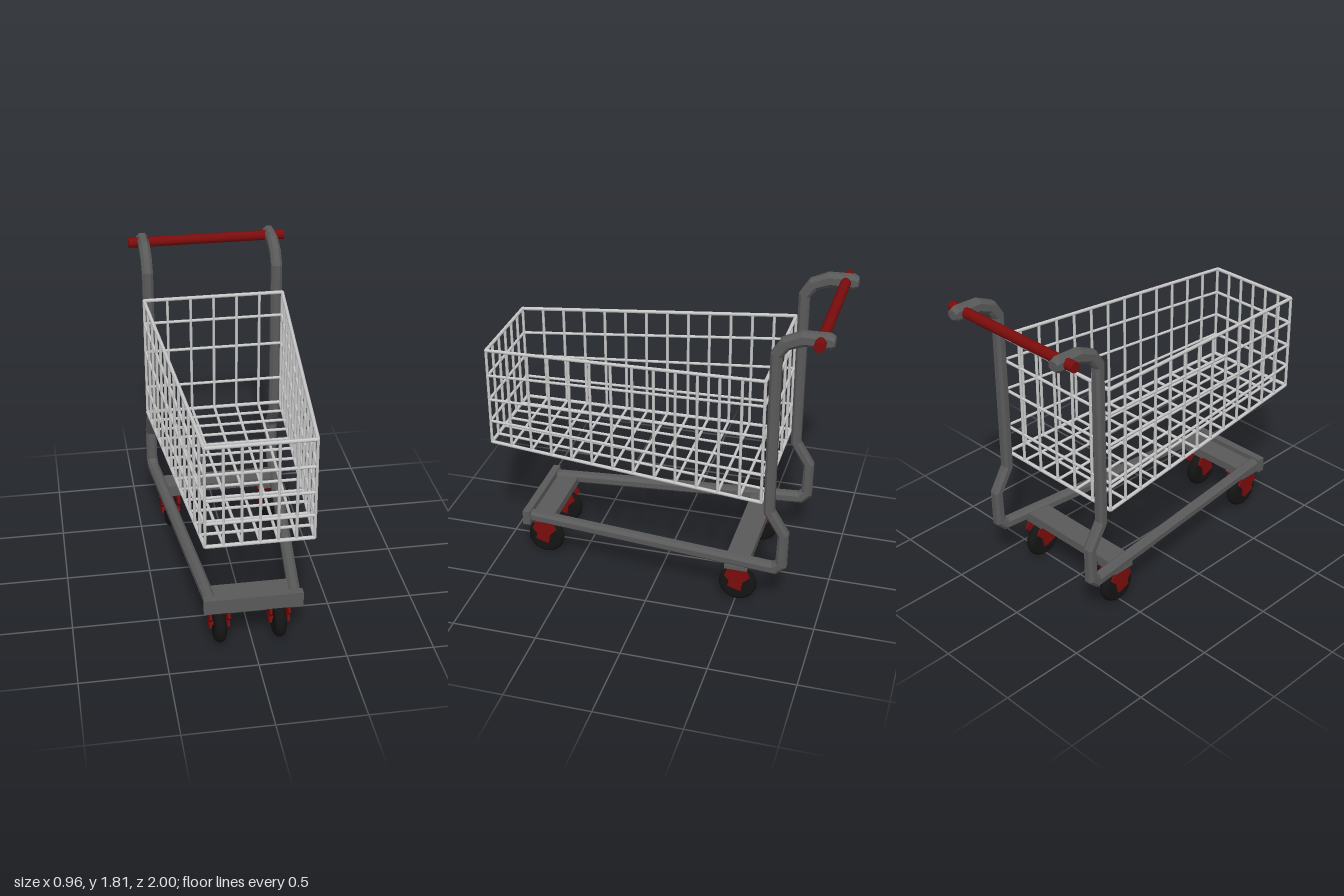
import * as THREE from 'three';

const mat = (color, flat = false) =>
  new THREE.MeshStandardMaterial({ color, flatShading: flat });
const V = (x, y, z) => new THREE.Vector3(x, y, z);

export function createModel() {
  const model = new THREE.Group();
  const wireMat = mat(0xcccccc);
  const frameMat = mat(0x5a5a5a, true);
  const redMat = mat(0x7a0c0c, true);
  const tyreMat = mat(0x141414);

  const add = (parent, name, geometry, material, x = 0, y = 0, z = 0) => {
    const mesh = new THREE.Mesh(geometry, material);
    mesh.name = name;
    mesh.position.set(x, y, z);
    parent.add(mesh);
    return mesh;
  };

  // Straight rod between two points
  const rod = (parent, name, a, b, r, material = wireMat, sides = 6) => {
    const mesh = add(parent, name, new THREE.CylinderGeometry(r, r, a.distanceTo(b), sides), material);
    mesh.position.copy(a).lerp(b, 0.5);
    mesh.quaternion.setFromUnitVectors(V(0, 1, 0), b.clone().sub(a).normalize());
  };

  // Chamfered square tube swept along a mitred path; each stop is [x, y, z, halfHeight]
  const sweep = (stops) => {
    const pts = stops.map(([x, y, z]) => V(x, y, z));
    const section = [[1, -.5], [1, .5], [.5, 1], [-.5, 1], [-1, .5], [-1, -.5], [-.5, -1], [.5, -1]];
    const n = section.length, pos = [], index = [];
    pts.forEach((p, i) => {
      const before = p.clone().sub(pts[Math.max(i - 1, 0)]).normalize();
      const after = pts[Math.min(i + 1, pts.length - 1)].clone().sub(p).normalize();
      const t = before.clone().add(after).normalize();
      const miter = 1 / Math.max(t.dot(i ? before : after), 0.5);
      const side = V(1, 0, 0).addScaledVector(t, -t.x).normalize();
      const up = t.clone().cross(side);
      for (const [u, v] of section) {
        const q = p.clone().addScaledVector(side, u * 0.033).addScaledVector(up, v * stops[i][3] * miter);
        pos.push(q.x, q.y, q.z);
      }
    });
    for (let i = 0; i < pts.length - 1; i++)
      for (let j = 0; j < n; j++) {
        const a = i * n + j, b = i * n + (j + 1) % n;
        index.push(a, b, a + n, b, b + n, a + n);
      }
    const last = (pts.length - 1) * n;
    for (let j = 1; j < n - 1; j++) index.push(0, j + 1, j, last, last + j, last + j + 1);
    const g = new THREE.BufferGeometry();
    g.setAttribute('position', new THREE.Float32BufferAttribute(pos, 3));
    g.setIndex(index);
    g.computeVertexNormals();
    return g;
  };

  // Frame: each side is one bent tube from the front bar up to the handle
  const frame = new THREE.Group();
  frame.name = 'frame';
  model.add(frame);
  for (const s of [-1, 1]) {
    add(frame, s > 0 ? 'leftFrameTube' : 'rightFrameTube', sweep([
      [s * .235, .298, .80, .032], [s * .388, .302, -.735, .034], [s * .392, .34, -.775, .032],
      [s * .392, .54, -.78, .03], [s * .392, .685, -.693, .03], [s * .392, 1.66, -.697, .031],
      [s * .392, 1.73, -.745, .036], [s * .392, 1.768, -.835, .04],
      [s * .392, 1.77, -.975, .042], [s * .392, 1.77, -1, .026],
    ]), frameMat);
  }
  add(frame, 'frontBar', new THREE.BoxGeometry(.56, .09, .045), frameMat, 0, .295, .81);
  add(frame, 'frontCrossPlank', new THREE.BoxGeometry(.46, .05, .13), frameMat, 0, .29, .715);
  add(frame, 'rearCrossPlank', new THREE.BoxGeometry(.70, .05, .14), frameMat, 0, .29, -.515);

  // Handle
  rod(model, 'handle', V(-.48, 1.77, -.93), V(.48, 1.77, -.93), .03, mat(0x7a0c0c), 16);

  // Basket: wire walls between a small front rectangle and a large rear one
  const basket = new THREE.Group();
  basket.name = 'basket';
  model.add(basket);
  const frontY = [.81, .95, 1.09, 1.245, 1.405];
  const rearY = [.75, .925, 1.165, 1.355, 1.505];
  const bays = 13, columns = 6, r = .009;
  const halfWidth = (t) => THREE.MathUtils.lerp(.293, .422, t);
  const at = (u, level, t) => V(u * halfWidth(t),
    THREE.MathUtils.lerp(frontY[level], rearY[level], t), THREE.MathUtils.lerp(.99, -.65, t));
  for (let k = 0; k < 5; k++) {
    const w = k % 4 ? r : .011;
    for (const u of [-1, 1]) rod(basket, 'sideWire', at(u, k, 0), at(u, k, 1), w);
    for (const t of [0, 1]) rod(basket, 'endWire', at(-1, k, t), at(1, k, t), w);
  }
  for (let i = 0; i <= bays; i++) {
    const t = i / bays;
    for (const u of [-1, 1]) rod(basket, 'sideUpright', at(u, 0, t), at(u, 4, t), r);
    rod(basket, 'floorCrossWire', at(-1, 0, t), at(1, 0, t), r);
  }
  for (let i = 1; i < columns; i++) {
    const u = -1 + 2 * i / columns;
    rod(basket, 'floorLongWire', at(u, 0, 0), at(u, 0, 1), r);
    for (const t of [0, 1]) rod(basket, 'endUpright', at(u, 0, t), at(u, 4, t), r);
  }

  // Casters: rounded tyre between two fork plates under a mounting plate
  const tyre = new THREE.LatheGeometry([
    [0, -.03], [.06, -.03], [.085, -.034], [.1, -.026], [.109, -.013], [.112, 0],
    [.109, .013], [.1, .026], [.085, .034], [.06, .03], [0, .03],
  ].map(([x, y]) => new THREE.Vector2(x, y)), 28).rotateZ(Math.PI / 2);
  const outline = [[.05, .24], [-.055, .24], [-.08, .19], [-.04, .15], [-.03, .09],
    [.05, .115], [.04, .15], [.07, .185]].map(([z, y]) => new THREE.Vector2(-z, y));
  const fork = new THREE.ExtrudeGeometry(new THREE.Shape(outline), { depth: .014, bevelEnabled: false })
    .translate(0, 0, -.007).rotateY(Math.PI / 2);
  const casters = [['frontRightCaster', -.185, .73], ['frontLeftCaster', .157, .73],
    ['rearRightCaster', -.31, -.51], ['rearLeftCaster', .32, -.51]];
  for (const [name, x, z] of casters) {
    const caster = new THREE.Group();
    caster.name = name;
    caster.position.set(x, 0, z);
    model.add(caster);
    add(caster, 'wheel', tyre, tyreMat, 0, .112, 0);
    for (const s of [-1, 1]) add(caster, 'forkPlate', fork, redMat, s * .052, 0, 0);
    add(caster, 'forkCrown', new THREE.BoxGeometry(.118, .014, .105), redMat, 0, .237, 0);
    add(caster, 'axle', new THREE.CylinderGeometry(.012, .012, .11, 10).rotateZ(Math.PI / 2), redMat, 0, .112, 0);
    add(caster, 'mountingPlate', new THREE.BoxGeometry(.145, .024, .135), frameMat, 0, .256, 0);
  }
  return model;
}
